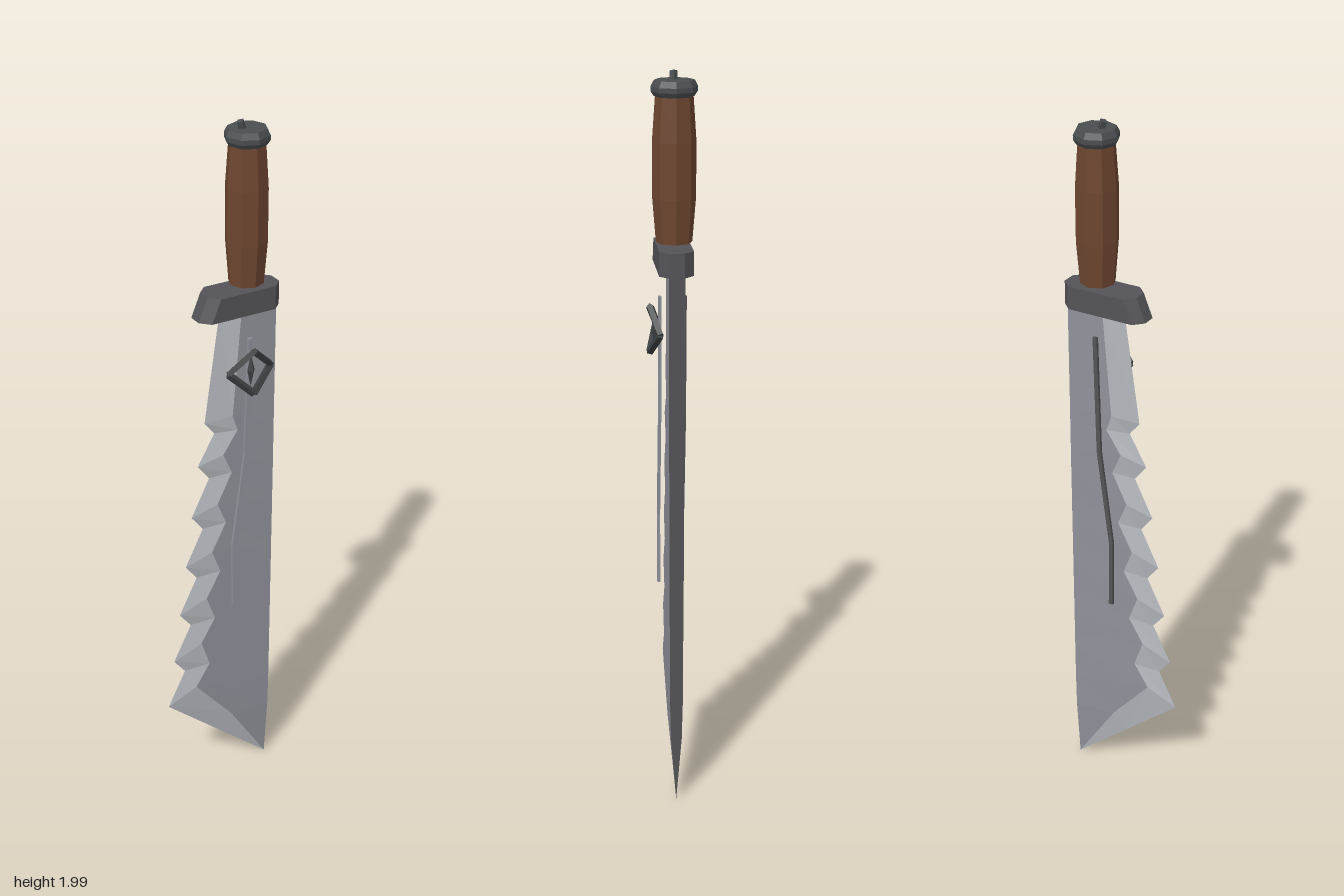
import * as THREE from 'three';

const mat = (name, color) => Object.assign(new THREE.MeshStandardMaterial({ color }), { name });
const CZ = -0.009; // middle plane of the blade
const CX = 0.077; // grip axis

function flat(geo) {
  const g = geo.index ? geo.toNonIndexed() : geo;
  g.computeVertexNormals();
  return g;
}

function quadGeometry(quads) {
  const pos = [];
  for (const [a, b, c, d] of quads) pos.push(...a, ...b, ...c, ...a, ...c, ...d);
  const g = new THREE.BufferGeometry();
  g.setAttribute('position', new THREE.Float32BufferAttribute(pos, 3));
  g.computeVertexNormals();
  return g;
}

// Rows from guard to point: cutting edge x,y / bevel x,y / spine y / half thickness
function bladeRows() {
  const rows = [
    [0, 1.51, 0.055, 1.51, 1.51, 0.021],
    [-0.045, 1.2, 0.03, 1.21, 1.2, 0.02],
    [-0.016, 1.163, 0.045, 1.165, 1.163, 0.02],
  ];
  // Toothed stretch
  for (let i = 0; i < 6; i++) {
    const x = -0.066 - i * 0.0203, y = 1.075 - i * 0.1536;
    const w = 0.068 + i * 0.003;
    rows.push([x, y, x + w, y + 0.025 + i * 0.005, y, 0.02 - i * 0.0005]);
    if (i < 5) rows.push([x + 0.034, y - 0.045, x + w + 0.026, y - 0.035, y - 0.045, 0.02 - i * 0.0005]);
  }
  // Slanted end
  rows.push([-0.006, 0.158, 0.03, 0.215, 0.2, 0.015]);
  rows.push([0.155, 0.01, 0.155, 0.01, 0.01, 0]);
  return rows;
}

function addBlade(add, steel, edgeSteel, darkMetal) {
  const faces = [], bevels = [], spine = [];
  const rows = bladeRows().map(([ex, ey, ix, iy, sy, t]) => ({
    e: [ex, ey, CZ],
    f: [[ix, iy, CZ + t * 0.85], [ix, iy, CZ - t * 0.85]],
    s: [[0.155, sy, CZ + t], [0.155, sy, CZ - t]],
  }));
  for (let i = 0; i < rows.length - 1; i++) {
    const a = rows[i], b = rows[i + 1];
    bevels.push([a.e, b.e, b.f[0], a.f[0]], [a.f[1], b.f[1], b.e, a.e]);
    faces.push([a.f[0], b.f[0], b.s[0], a.s[0]], [a.s[1], b.s[1], b.f[1], a.f[1]]);
    spine.push([a.s[0], b.s[0], b.s[1], a.s[1]]);
  }
  add('bladeFaces', quadGeometry(faces), steel);
  add('bladeCuttingEdge', quadGeometry(bevels), edgeSteel);
  add('bladeSpine', quadGeometry(spine), darkMetal);
}

// Four-sided bar between two points
function bar(a, b, r) {
  const dir = b.clone().sub(a);
  const g = flat(new THREE.CylinderGeometry(r, r, dir.length(), 4));
  g.applyQuaternion(new THREE.Quaternion().setFromUnitVectors(new THREE.Vector3(0, 1, 0), dir.normalize()));
  const m = a.clone().add(b).multiplyScalar(0.5);
  return g.translate(m.x, m.y, m.z);
}

export function createModel() {
  const group = new THREE.Group();
  const steel = mat('blade steel', 0x91919b);
  const edgeSteel = mat('sharpened steel', 0xb3b6bc);
  const darkMetal = mat('dark metal', 0x545458);
  const capMetal = mat('cap metal', 0x4a4e50);
  const iron = mat('ornament iron', 0x3c4042);
  const wood = mat('grip wood', 0x6e4630);
  const add = (name, geo, material) => {
    const mesh = new THREE.Mesh(geo, material);
    mesh.name = name;
    group.add(mesh);
    return mesh;
  };

  addBlade(add, steel, edgeSteel, darkMetal);

  // Guard: chamfered block whose left end slants inward at the top
  const hx = 0.1175, hz = 0.0435, c = 0.025;
  const outline = [[-hx, -hz + c], [-hx + c, -hz], [hx - c, -hz], [hx, -hz + c],
    [hx, hz - c], [hx - c, hz], [-hx + c, hz], [-hx, hz - c]];
  const guard = new THREE.ExtrudeGeometry(
    new THREE.Shape(outline.map(([x, y]) => new THREE.Vector2(x, y))), { depth: 0.063, bevelEnabled: false });
  guard.rotateX(-Math.PI / 2).translate(0.0465, 1.503, CZ);
  const gp = guard.attributes.position;
  for (let i = 0; i < gp.count; i++) {
    if (gp.getY(i) > 1.55 && gp.getX(i) < 0) gp.setX(i, gp.getX(i) + 0.026);
  }
  add('guard', flat(guard), darkMetal);

  // Eight-sided grip and end cap
  const lathe = (pts) => flat(new THREE.LatheGeometry(pts.map(([r, y]) => new THREE.Vector2(r, y)), 8))
    .translate(CX, 0, CZ);
  add('grip', lathe([[0, 1.577], [0.046, 1.577], [0.055, 1.69], [0.055, 1.83], [0.047, 1.945], [0, 1.945]]), wood);
  add('endCap', lathe([[0, 1.938], [0.05, 1.938], [0.058, 1.95], [0.058, 1.962], [0.05, 1.977], [0, 1.977]]), capMetal);
  add('capPin', bar(new THREE.Vector3(0.068, 1.965, CZ), new THREE.Vector3(0.056, 1.996, CZ), 0.01), capMetal);

  // Narrow ribs running down both faces
  const path = [[0.069, 1.435], [0.06, 1.1], [0.024, 0.82], [0.026, 0.62]];
  const strip = [...path.map(([x, y]) => [x - 0.006, y]), ...path.map(([x, y]) => [x + 0.006, y]).reverse()];
  const ribShape = new THREE.Shape(strip.map(([x, y]) => new THREE.Vector2(x, y)));
  for (const [name, z, m] of [['frontRib', 0.023, steel], ['backRib', -0.042, darkMetal]]) {
    add(name, new THREE.ExtrudeGeometry(ribShape, { depth: 0.008, bevelEnabled: false }).translate(0, 0, z), m);
  }

  // Diamond ornament, its upper and lower corners bent forward
  const ornament = new THREE.Group();
  ornament.name = 'diamondOrnament';
  const corners = [[-0.063, 0, 0.03], [0, 0.06, 0.052], [0.063, 0, 0.03], [0, -0.06, 0.052]]
    .map((p) => new THREE.Vector3(...p));
  corners.forEach((p, i) => {
    const side = add('ornamentSide', bar(p, corners[(i + 1) % 4], 0.01), iron);
    ornament.add(side);
  });
  const slit = new THREE.OctahedronGeometry(1).scale(0.011, 0.045, 0.014).translate(0, 0, 0.036);
  ornament.add(add('ornamentSlit', flat(slit), iron));
  ornament.position.set(0.067, 1.348, 0);
  group.add(ornament);

  return group;
}
